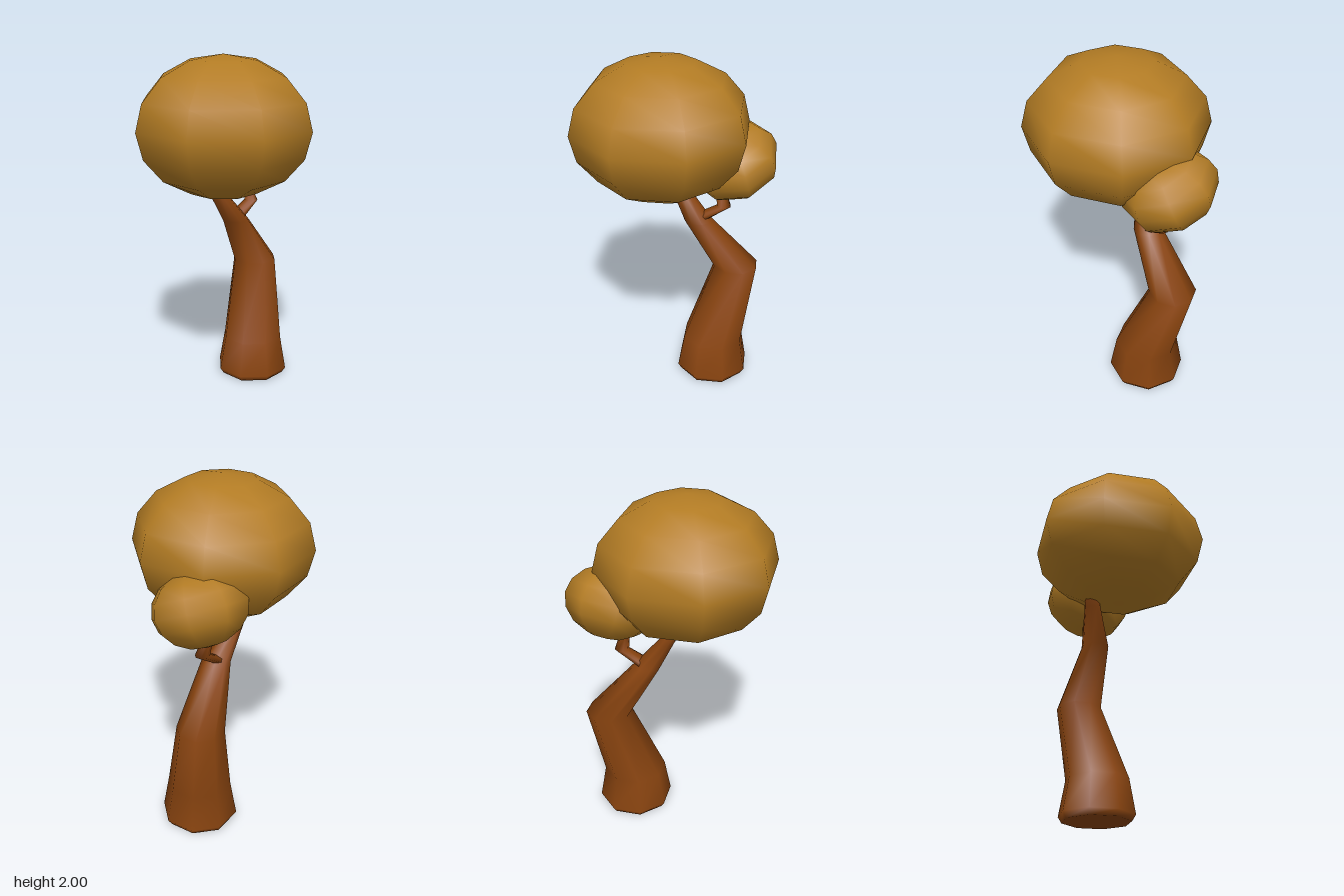
import * as THREE from 'three';

const SIDES = 8;

// Skin horizontal rings [x, y, z, radius] into a smooth limb; radius 0 closes an end.
function limb(rings) {
  const positions = [];
  const index = [];
  rings.forEach(([x, y, z, r], i) => {
    for (let j = 0; j < SIDES; j++) {
      const t = (j / SIDES) * Math.PI * 2;
      positions.push(x + r * Math.cos(t), y, z + r * Math.sin(t));
      if (i === rings.length - 1) continue;
      const a = i * SIDES + j;
      const b = i * SIDES + ((j + 1) % SIDES);
      const c = a + SIDES;
      const d = b + SIDES;
      if (r > 0) index.push(a, c, b);
      if (rings[i + 1][3] > 0) index.push(b, c, d);
    }
  });
  const geometry = new THREE.BufferGeometry();
  geometry.setAttribute('position', new THREE.Float32BufferAttribute(positions, 3));
  geometry.setIndex(index);
  geometry.computeVertexNormals();
  return geometry;
}

export function createModel() {
  const tree = new THREE.Group();
  tree.name = 'tree';

  const bark = new THREE.MeshStandardMaterial({ color: 0x8b4510 });
  bark.name = 'bark brown';
  const leaves = new THREE.MeshStandardMaterial({ color: 0xb37c24 });
  leaves.name = 'autumn leaf ochre';

  const add = (name, geometry, material) => {
    const mesh = new THREE.Mesh(geometry, material);
    mesh.name = name;
    tree.add(mesh);
    return mesh;
  };

  // Crooked trunk, flared at the foot and ending inside the crown
  add('trunk', limb([
    [0.237, 0, -0.168, 0],
    [0.237, 0, -0.168, 0.2],
    [0.237, 0.035, -0.168, 0.222],
    [0.237, 0.24, -0.168, 0.185],
    [0.31, 0.7, -0.3, 0.135],
    [0.117, 1.01, -0.168, 0.081],
    [-0.012, 1.2, -0.16, 0.049],
    [-0.08, 1.3, -0.155, 0.035],
    [-0.08, 1.3, -0.155, 0],
  ]), bark);

  // Side branch with an elbow
  add('branch', limb([
    [0.11, 1.015, -0.175, 0],
    [0.11, 1.015, -0.175, 0.055],
    [0.25, 1.103, -0.232, 0.041],
    [0.22, 1.2, -0.24, 0.03],
    [0.2, 1.29, -0.24, 0.022],
    [0.2, 1.29, -0.24, 0],
  ]), bark);

  // Large and small leaf crowns
  const crown = new THREE.SphereGeometry(1, SIDES, 8);
  const largeCrown = add('largeCrown', crown, leaves);
  largeCrown.position.set(-0.035, 1.604, 0);
  largeCrown.scale.set(0.51, 0.396, 0.51);

  const smallCrown = add('smallCrown', crown, leaves);
  smallCrown.position.set(0.281, 1.395, -0.255);
  smallCrown.scale.set(0.264, 0.205, 0.268);
  smallCrown.rotation.x = 0.42;

  return tree;
}
